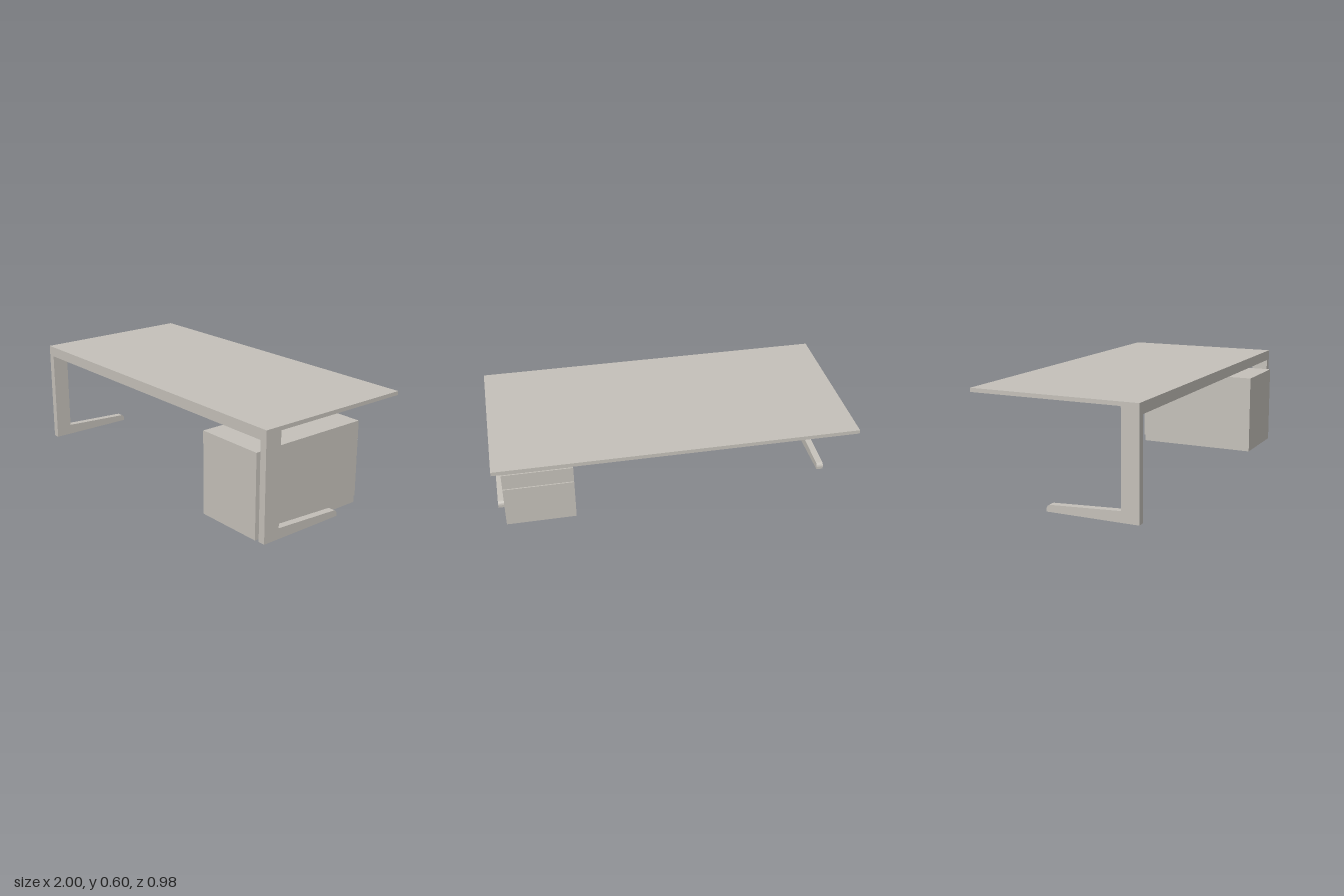
import * as THREE from 'three';

export function createModel() {
  const desk = new THREE.Group();
  desk.name = 'desk';
  const grey = new THREE.MeshStandardMaterial({ color: 0xc4c0b9 });
  grey.name = 'warm grey';

  const add = (name, geometry, parent = desk) => {
    const mesh = new THREE.Mesh(geometry, grey);
    mesh.name = name;
    parent.add(mesh);
    return mesh;
  };
  // box given by its minimum and maximum corners
  const box = (name, x0, x1, y0, y1, z0, z1, parent) =>
    add(name, new THREE.BoxGeometry(x1 - x0, y1 - y0, z1 - z0), parent)
      .position.set((x0 + x1) / 2, (y0 + y1) / 2, (z0 + z1) / 2);

  // thin top and the deep rail along the front
  box('desktop', -1, 1, 0.578, 0.6, -0.49, 0.467);
  box('frontRail', -0.96, 0.96, 0.54, 0.578, 0.37, 0.467);

  // L-shaped legs: post with a tapering, round-nosed foot (shape x = -z)
  const profile = new THREE.Shape();
  profile.moveTo(-0.467, 0);
  profile.lineTo(0.05, 0);
  profile.lineTo(0.05, 0.016);
  profile.quadraticCurveTo(0.047, 0.036, 0.028, 0.038);
  profile.lineTo(-0.37, 0.06);
  profile.lineTo(-0.37, 0.578);
  profile.lineTo(-0.467, 0.578);
  profile.closePath();
  const legGeometry = new THREE.ExtrudeGeometry(profile, { depth: 0.04, bevelEnabled: false, curveSegments: 8 });
  legGeometry.rotateY(Math.PI / 2);
  add('leftLeg', legGeometry).position.x = 0.96;
  add('rightLeg', legGeometry).position.x = -1;

  // drawer cabinet, opening towards the back
  const cabinet = new THREE.Group();
  cabinet.name = 'drawerCabinet';
  desk.add(cabinet);
  box('cabinetBody', 0.557, 0.959, 0.015, 0.48, -0.226, 0.491, cabinet);
  [[0.052, 0.271], [0.279, 0.372], [0.38, 0.48]].forEach(([y0, y1], i) =>
    box(`drawerFront${i + 1}`, 0.557, 0.959, y0, y1, -0.233, -0.226, cabinet));

  return desk;
}
